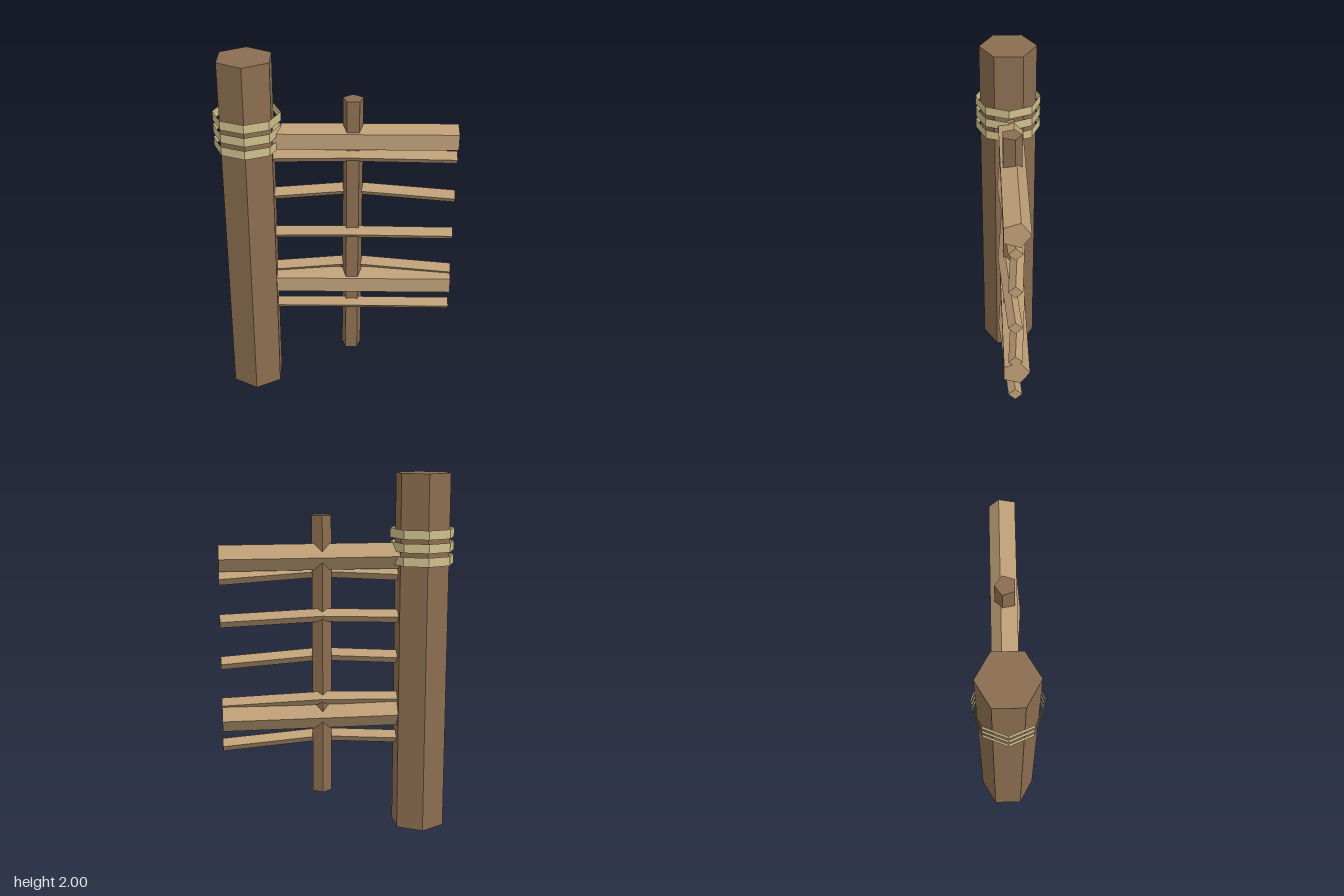
import * as THREE from 'three';

const mat = (name, color, extra = {}) => {
  const m = new THREE.MeshStandardMaterial({ color, flatShading: true, ...extra });
  m.name = name;
  return m;
};

export function createModel() {
  const darkWood = mat('darkWood', 0x8b6d50);
  const lightWood = mat('lightWood', 0xbd9e76);
  const rope = mat('rope', 0xcfc08d, { side: THREE.DoubleSide });

  const model = new THREE.Group();
  model.name = 'fencePiece';
  const add = (name, geometry, material, x, y, z = 0) => {
    const mesh = new THREE.Mesh(geometry, material);
    mesh.name = name;
    mesh.position.set(x, y, z);
    model.add(mesh);
  };

  const postX = -0.469, stakeX = 0.087;
  const railLength = 1.108;

  // Six-sided main post
  add('post', new THREE.CylinderGeometry(0.155, 0.155, 2, 6), darkWood, postX, 1);

  // Three open rope bands around the post
  for (const y of [1.535, 1.608, 1.68]) {
    add('ropeBand', new THREE.CylinderGeometry(0.179, 0.179, 0.05, 8, 1, true), rope, postX, y);
  }

  // Five-sided upright stake, flat side to the front
  add('stake', new THREE.CylinderGeometry(0.056, 0.056, 1.555, 5).rotateY(Math.PI),
    darkWood, stakeX, 1.0025);

  // Two horizontal rails, flat side to the front
  for (const y of [1.558, 0.668]) {
    const rail = new THREE.CylinderGeometry(0.075, 0.075, railLength, 5);
    rail.rotateY(Math.PI).rotateZ(Math.PI / 2);
    add('rail', rail, lightWood, stakeX, y, -0.002);
  }

  // Five thin slats woven around the stake: the middle bows up and to alternate sides
  for (let i = 0; i < 5; i++) {
    const slat = new THREE.CylinderGeometry(0.037, 0.037, railLength, 4, 2);
    slat.rotateZ(Math.PI / 2);
    const side = i % 2 ? -1 : 1;
    const p = slat.attributes.position;
    for (let v = 0; v < p.count; v++) {
      const bow = 1 - Math.abs(p.getX(v)) / (railLength / 2);
      p.setY(v, p.getY(v) + 0.028 * bow);
      p.setZ(v, p.getZ(v) + 0.038 * side * bow);
    }
    slat.computeVertexNormals();
    add('slat', slat, lightWood, stakeX, 1.447 - 0.2335 * i);
  }

  return model;
}
